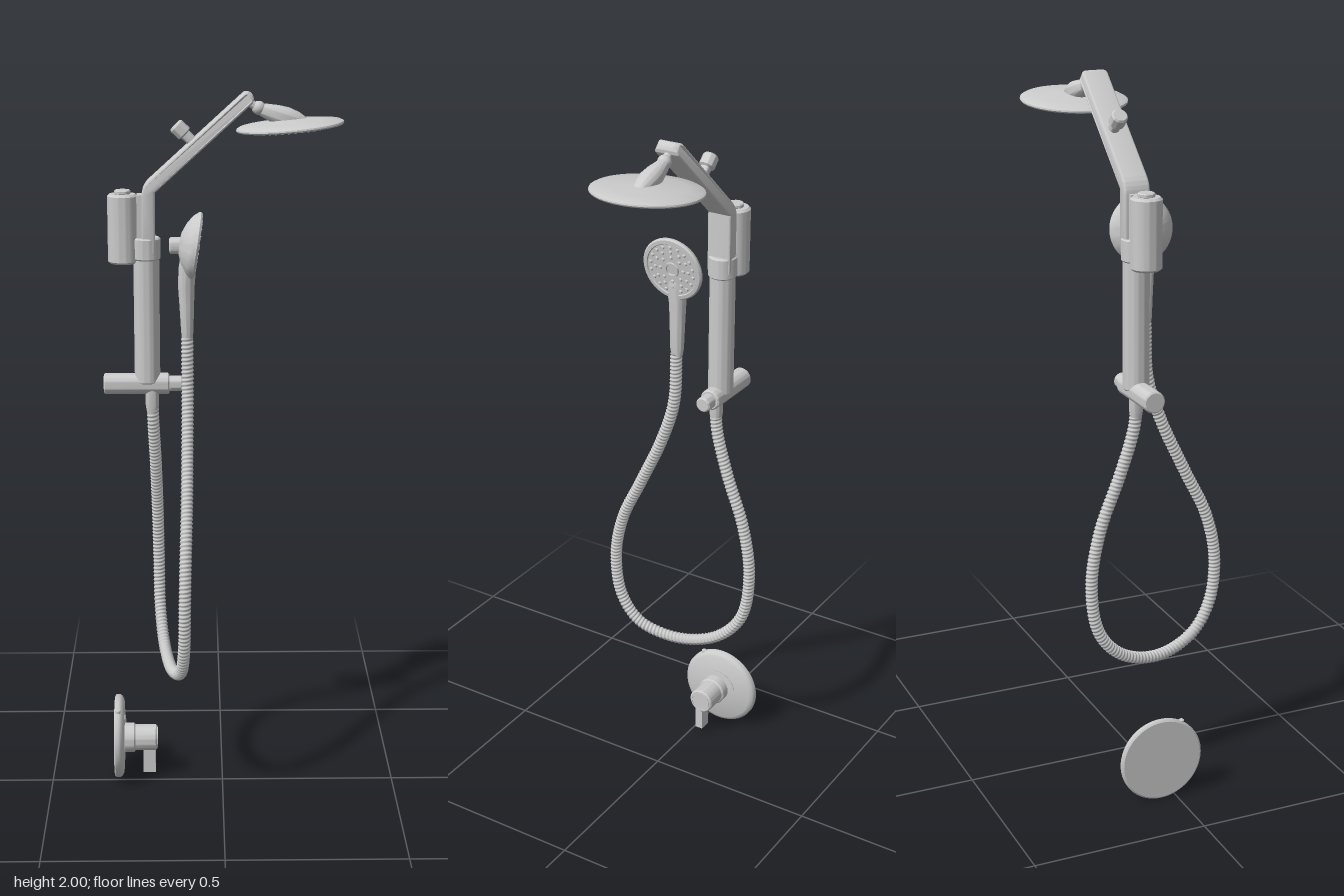
import * as THREE from 'three';
import { toCreasedNormals, mergeGeometries } from 'three/addons/utils/BufferGeometryUtils.js';

const grey = new THREE.MeshStandardMaterial({ color: 0xcccccc });
const V = (x, y, z) => new THREE.Vector3(x, y, z);
const UP = V(0, 1, 0), X = V(1, 0, 0);
const Z = -0.078; // depth of the riser column

export function createModel() {
  const model = new THREE.Group();

  function add(name, geo, pos = V(0, 0, 0), dir = UP) {
    const mesh = new THREE.Mesh(geo, grey);
    mesh.name = name;
    mesh.position.copy(pos);
    mesh.quaternion.setFromUnitVectors(UP, dir.clone().normalize());
    model.add(mesh);
    return mesh;
  }

  // Turned part: profile of [radius, height] pairs, listed along dir
  function turned(name, profile, pos, dir, sides = 40) {
    const geo = new THREE.LatheGeometry(profile.map(p => new THREE.Vector2(...p)), sides);
    return add(name, toCreasedNormals(geo, 0.6), pos, dir);
  }

  // Capped cylinder with small chamfers, from height a to b
  const rod = (r, a, b, c = 0.004) =>
    [[0, a], [r - c, a], [r, a + c], [r, b - c], [r - c, b], [0, b]];

  // Rings of little spray nozzles on a face
  function nozzles(name, rings, size, h, pos, dir) {
    const parts = [];
    for (const [radius, count] of rings) {
      for (let i = 0; i < count; i++) {
        const a = (i / count) * Math.PI * 2;
        parts.push(new THREE.CylinderGeometry(size * 0.6, size, 0.006, 8)
          .translate(Math.cos(a) * radius, h, Math.sin(a) * radius));
      }
    }
    add(name, mergeGeometries(parts), pos, dir);
  }

  // Riser column, collar and cross valve
  turned('riserColumn', rod(0.036, 1.19, 1.6), V(-0.21, 0, Z));
  turned('riserCollar', rod(0.04, 1.54, 1.602), V(-0.21, 0, Z));
  turned('crossValve', rod(0.03, -0.333, -0.148), V(0, 1.186, Z), X);
  turned('crossValveKnob', rod(0.022, -0.15, -0.11), V(0, 1.186, Z), X);
  turned('hoseNut', [[0, 1.1], [0.015, 1.1], [0.019, 1.125], [0.019, 1.18], [0, 1.18]], V(-0.197, 0, -0.072));

  // Wall bracket beside the column
  turned('wallBracket', rod(0.042, 1.53, 1.722, 0.006), V(-0.274, 0, Z));
  turned('wallBracketCap', rod(0.023, 1.72, 1.733, 0.003), V(-0.274, 0, Z));
  add('bracketPlate', new THREE.BoxGeometry(0.014, 0.17, 0.05), V(-0.228, 1.635, Z));

  // Flat bent arm: outline extruded across its width, end rounded in plan
  const bend = [-0.203, 1.735], end = [0.068, 1.98], t = 0.017;
  const ang = Math.atan2(end[1] - bend[1], end[0] - bend[0]);
  const ux = Math.cos(ang), uy = Math.sin(ang);
  const half = Math.tan((Math.PI / 2 - ang) / 2) * t;
  const arm = new THREE.Shape();
  arm.moveTo(bend[0] + t, 1.56);
  arm.lineTo(bend[0] + t, bend[1] - half);
  arm.absarc(end[0], end[1], t, ang - Math.PI / 2, ang + Math.PI / 2, false);
  arm.lineTo(bend[0] - uy * t + ux * 0.02, bend[1] + ux * t + uy * 0.02);
  arm.quadraticCurveTo(bend[0] - t, bend[1] + half, bend[0] - t, bend[1] - 0.02);
  arm.lineTo(bend[0] - t, 1.56);
  arm.closePath();
  const armGeo = new THREE.ExtrudeGeometry(arm, {
    depth: 0.06, bevelEnabled: true, bevelThickness: 0.006, bevelSize: 0.005,
    bevelOffset: -0.004, bevelSegments: 3, curveSegments: 16,
  }).translate(0, 0, -0.03);
  const p = armGeo.attributes.position;
  for (let i = 0; i < p.count; i++) {
    const s = Math.max(0, (p.getX(i) - end[0]) * ux + (p.getY(i) - end[1]) * uy);
    p.setZ(i, p.getZ(i) * (1 - 0.35 * (s / t) ** 2));
  }
  add('arm', toCreasedNormals(armGeo, 0.6), V(0, 0, Z));

  // Diverter knob standing on the arm
  turned('armKnob', [[0, 0], [0.015, 0], [0.015, 0.035], [0.022, 0.039], [0.022, 0.068], [0.018, 0.073], [0, 0.073]],
    V(-0.075, 1.858, -0.086), V(-0.72, 0.69, 0), 32);

  // Rain head with ball joint and flared neck
  const rainPos = V(0.186, 1.905, -0.087), down = V(0.087, -0.996, 0);
  add('rainBallJoint', new THREE.SphereGeometry(0.019, 24, 16), V(0.1, 1.954, -0.083));
  turned('rainJointStem', rod(0.011, 0, 0.05), V(0.066, 1.975, -0.081), V(0.8, -0.55, 0), 24);
  turned('rainNeck', [[0, 0], [0.014, 0], [0.019, 0.015], [0.026, 0.05], [0.029, 0.08], [0.025, 0.11], [0.015, 0.14], [0, 0.16]],
    V(0.1, 1.952, -0.085), V(0.95, -0.31, 0));
  turned('rainHead', [[0, -0.021], [0.05, -0.018], [0.1, -0.012], [0.14, -0.007], [0.147, -0.003], [0.148, 0.001],
    [0.145, 0.005], [0.136, 0.006], [0.134, 0.003], [0.062, 0.003], [0.06, 0.006], [0.034, 0.006], [0.032, 0.003], [0, 0.003]],
    rainPos, down, 72);
  nozzles('rainNozzles', [[0.012, 6], [0.026, 12], [0.048, 18], [0.075, 26], [0.098, 34], [0.12, 42]], 0.0045, 0.006, rainPos, down);

  // Hand shower head, facing +x and slightly down
  const handPos = V(-0.068, 1.59, -0.002), face = V(0.988, -0.15, 0);
  turned('handShowerHead', [[0, -0.052], [0.03, -0.048], [0.058, -0.037], [0.08, -0.022], [0.091, -0.009], [0.092, -0.003],
    [0.088, 0.002], [0.078, 0.003], [0.076, 0], [0.022, 0], [0.021, 0.004], [0.016, 0.004], [0.015, 0], [0, 0]],
    handPos, face, 56);
  nozzles('handShowerNozzles', [[0.036, 8], [0.052, 12], [0.067, 18]], 0.006, 0.002, handPos, face);
  turned('handShowerPeg', rod(0.023, -0.145, -0.1), V(0, 1.59, -0.007), X, 28);

  // Hand shower handle: elliptical sections [x, y, radiusX, radiusZ]
  const sections = [[-0.097, 1.325, 0, 0], [-0.097, 1.325, 0.014, 0.016], [-0.097, 1.35, 0.017, 0.02], [-0.098, 1.42, 0.02, 0.022],
    [-0.099, 1.48, 0.023, 0.024], [-0.096, 1.53, 0.024, 0.03], [-0.093, 1.57, 0.02, 0.034], [-0.09, 1.6, 0, 0]];
  const handle = new THREE.LatheGeometry(sections.map(s => new THREE.Vector2(1, s[1])), 32);
  const hp = handle.attributes.position;
  for (let i = 0; i < hp.count; i++) {
    const [x, , rx, rz] = sections[i % sections.length];
    hp.setX(i, x + hp.getX(i) * rx);
    hp.setZ(i, hp.getZ(i) * rz);
  }
  add('handShowerHandle', toCreasedNormals(handle, 0.8), V(0, 0, -0.002));

  // Ribbed hose hanging in a loop
  const path = new THREE.CatmullRomCurve3([
    [-0.097, 1.335, 0], [-0.097, 1.18, 0.007], [-0.098, 1.05, 0.048], [-0.1, 0.89, 0.122], [-0.104, 0.75, 0.188],
    [-0.107, 0.615, 0.215], [-0.11, 0.48, 0.198], [-0.12, 0.395, 0.138], [-0.148, 0.361, 0.02], [-0.17, 0.395, -0.1],
    [-0.182, 0.48, -0.176], [-0.185, 0.626, -0.2], [-0.187, 0.785, -0.175], [-0.19, 0.944, -0.116],
    [-0.195, 1.08, -0.076], [-0.197, 1.17, -0.072],
  ].map(q => V(...q)));
  const segs = 1080, sides = 14;
  const hose = new THREE.TubeGeometry(path, segs, 0.0165, sides);
  const tp = hose.attributes.position, tn = hose.attributes.normal;
  for (let i = 0; i < tp.count; i++) {
    const ring = Math.floor(i / (sides + 1)), a = (i % (sides + 1)) / sides;
    const d = 0.0013 * Math.cos((ring / 6 + a) * Math.PI * 2);
    tp.setXYZ(i, tp.getX(i) + tn.getX(i) * d, tp.getY(i) + tn.getY(i) * d, tp.getZ(i) + tn.getZ(i) * d);
  }
  hose.computeVertexNormals();
  add('hose', hose);

  // Mixer valve: wall plate, hub, knob and lever
  turned('mixerPlate', [[0, -0.316], [0.117, -0.316], [0.122, -0.312], [0.122, -0.302], [0.118, -0.295], [0.108, -0.29], [0, -0.286]],
    V(0, 0.122, -0.043), X, 64);
  const hub = V(0, 0.12, -0.035);
  turned('mixerHub', rod(0.043, -0.29, -0.256), hub, X);
  turned('mixerKnob', rod(0.038, -0.26, -0.192), hub, X);
  turned('mixerKnobRing', [[0.031, -0.194], [0.031, -0.19], [0.028, -0.19], [0.028, -0.194]], hub, X);
  add('mixerLever', new THREE.BoxGeometry(0.036, 0.09, 0.024), V(-0.215, 0.062, -0.027));
  const mark = new THREE.TorusGeometry(0.064, 0.002, 6, 24, Math.PI * 0.5).rotateZ(Math.PI * 0.45).rotateY(-Math.PI / 2);
  mark.scale(1, 1, -1).rotateY(Math.PI);
  mark.scale(-1, 1, 1);
  const markMesh = add('temperatureMark', mark, V(-0.287, 0.12, -0.035));
  markMesh.material = new THREE.MeshStandardMaterial({ color: 0xcccccc, side: THREE.DoubleSide });
  turned('plateScrew', rod(0.008, 0.215, 0.231, 0.002), V(-0.305, 0, 0.02), UP, 16);

  return model;
}
